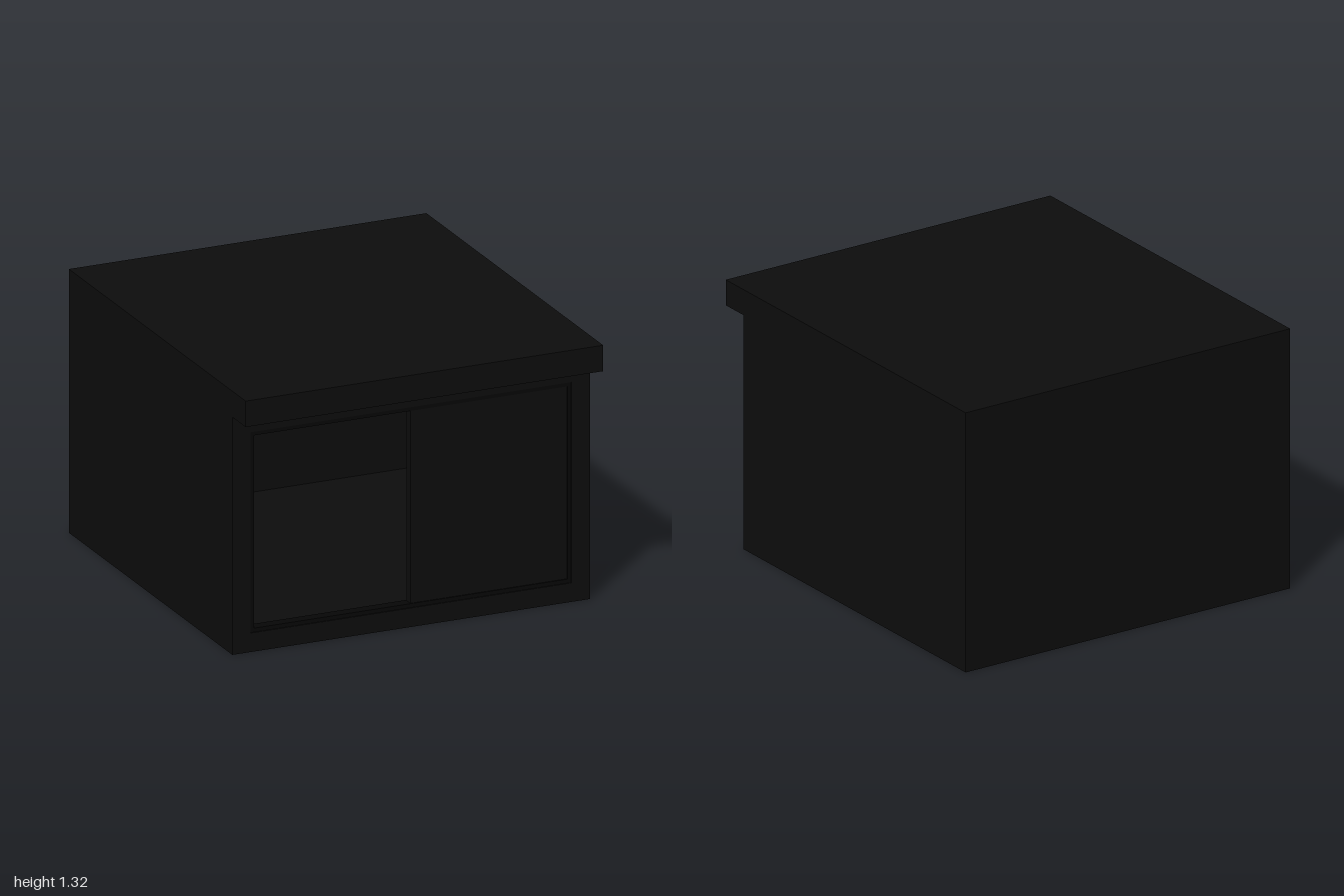
import * as THREE from 'three';

const dark = new THREE.MeshStandardMaterial({ color: 0x0d0d0d });
const trim = new THREE.MeshStandardMaterial({ color: 0x060606 });

// Box given by its minimum and maximum corners
function box(name, [x0, y0, z0], [x1, y1, z1], material = dark) {
  const mesh = new THREE.Mesh(new THREE.BoxGeometry(x1 - x0, y1 - y0, z1 - z0), material);
  mesh.position.set((x0 + x1) / 2, (y0 + y1) / 2, (z0 + z1) / 2);
  mesh.name = name;
  return mesh;
}

// Rectangle outline with a rectangular hole, extruded along z
function ring(name, [x, y0, y1], [ix, iy0, iy1], z0, z1, material) {
  const rect = (Type, w, a, b) => new Type([
    new THREE.Vector2(-w, a), new THREE.Vector2(w, a),
    new THREE.Vector2(w, b), new THREE.Vector2(-w, b),
  ]);
  const shape = rect(THREE.Shape, x, y0, y1);
  shape.holes.push(rect(THREE.Path, ix, iy0, iy1));
  const geometry = new THREE.ExtrudeGeometry(shape, { depth: z1 - z0, bevelEnabled: false });
  const mesh = new THREE.Mesh(geometry, material);
  mesh.position.z = z0;
  mesh.name = name;
  return mesh;
}

export function createModel() {
  const model = new THREE.Group();
  model.name = 'cabinet';

  const W = 0.925, FRONT = 0.85, BACK = -1;

  // Hollow body: side walls, floor and lintel in one tube, closed at the back
  model.add(ring('bodyShell', [W, 0, 1.19], [0.83, 0.095, 1.1], BACK + 0.09, FRONT, dark));
  model.add(box('backWall', [-W, 0, BACK], [W, 1.19, BACK + 0.09]));

  // Top slab overhanging the front
  model.add(box('topSlab', [-W, 1.19, BACK], [W, 1.32, 1]));

  // Thin trim lining the opening
  model.add(ring('openingTrim', [0.83, 0.095, 1.1], [0.81, 0.115, 1.08], FRONT - 0.06, FRONT - 0.005, trim));

  // Door panel closing one half of the opening
  model.add(box('doorPanel', [0, 0.115, FRONT - 0.05], [0.81, 1.08, FRONT - 0.01]));

  return model;
}
